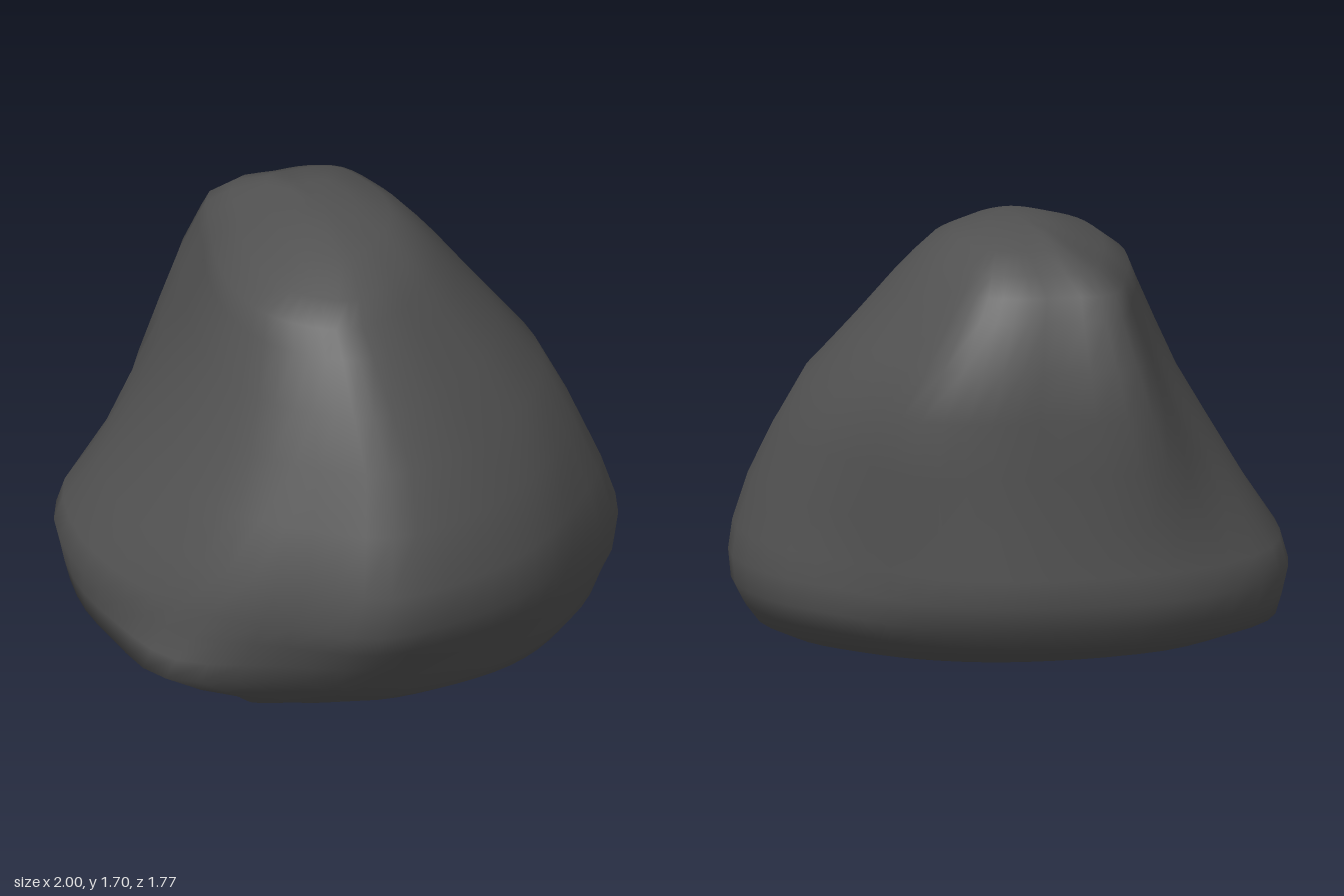
import * as THREE from 'three';

// Radii of the plan outline every 22.5 degrees, turning from +x towards +z
const LOW = [1, 0.93, 0.9, 0.89, 0.92, 0.92, 1.07, 0.98, 0.98, 1.03, 1, 0.93, 0.9, 0.88, 0.88, 0.95];
const WIDE = [1, 0.9, 0.87, 0.855, 0.88, 0.82, 0.87, 0.91, 0.98, 1.05, 1, 0.91, 0.885, 0.87, 0.84, 0.94];
const ROUND = [1, 0.97, 0.93, 0.96, 1, 0.98, 1, 1, 1, 1.05, 1.24, 1.04, 1, 1.01, 0.96, 0.98];

// Height, then left/right and back/front limits of each cross-section
const LEVELS = [
  [0.00, -0.40, -0.12, 0.14, 0.36],
  [0.03, -0.48, 0.22, -0.03, 0.46],
  [0.06, -0.54, 0.64, -0.20, 0.52],
  [0.10, -0.62, 0.80, -0.38, 0.57],
  [0.17, -0.79, 0.90, -0.62, 0.65],
  [0.25, -0.96, 0.95, -0.78, 0.71],
  [0.33, -0.98, 0.99, -0.84, 0.76],
  [0.43, -1.00, 1.00, -0.885, 0.83],
  [0.53, -0.97, 0.985, -0.88, 0.88],
  [0.70, -0.85, 0.93, -0.87, 0.89],
  [0.90, -0.73, 0.84, -0.86, 0.80],
  [1.10, -0.61, 0.73, -0.855, 0.70],
  [1.28, -0.53, 0.57, -0.83, 0.60],
  [1.45, -0.46, 0.43, -0.76, 0.47],
  [1.53, -0.43, 0.36, -0.71, 0.39],
  [1.60, -0.34, 0.29, -0.65, 0.30],
  [1.66, -0.22, 0.20, -0.54, 0.10],
  [1.69, -0.14, 0.08, -0.40, -0.03],
];
const SEGMENTS = 48;

// One closed section: blend the outlines by height, then fit to the limits
function section([y, x0, x1, z0, z1]) {
  const toWide = THREE.MathUtils.smoothstep(y, 0.2, 0.5);
  const toRound = THREE.MathUtils.smoothstep(y, 0.5, 1.25);
  const corners = WIDE.map((wide, i) => {
    const a = (i / WIDE.length) * Math.PI * 2;
    const lower = THREE.MathUtils.lerp(LOW[i], wide, toWide);
    const radius = THREE.MathUtils.lerp(lower, ROUND[i], toRound);
    return new THREE.Vector3(Math.cos(a) * radius, 0, Math.sin(a) * radius);
  });
  const curve = new THREE.CatmullRomCurve3(corners, true);
  const ring = Array.from({ length: SEGMENTS }, (_, i) => curve.getPoint(i / SEGMENTS));
  const box = new THREE.Box3().setFromPoints(ring);
  return ring.map((p) => [
    THREE.MathUtils.mapLinear(p.x, box.min.x, box.max.x, x0, x1),
    y,
    THREE.MathUtils.mapLinear(p.z, box.min.z, box.max.z, z0, z1),
  ]);
}

function boulderGeometry() {
  const positions = LEVELS.flatMap(section).flat();
  const index = [];
  const bottom = LEVELS.length * SEGMENTS;
  const last = bottom - SEGMENTS;
  positions.push(-0.26, 0, 0.25, -0.04, 1.7, -0.2); // cap centres

  for (let i = 0; i < SEGMENTS; i++) {
    const j = (i + 1) % SEGMENTS;
    for (let base = 0; base < last; base += SEGMENTS) {
      const a = base + i, b = base + j;
      index.push(a, a + SEGMENTS, b, b, a + SEGMENTS, b + SEGMENTS);
    }
    index.push(bottom, i, j);
    index.push(bottom + 1, last + j, last + i);
  }

  const geometry = new THREE.BufferGeometry();
  geometry.setAttribute('position', new THREE.Float32BufferAttribute(positions, 3));
  geometry.setIndex(index);
  geometry.computeVertexNormals();
  return geometry;
}

export function createModel() {
  const group = new THREE.Group();
  group.name = 'rock';
  const boulder = new THREE.Mesh(boulderGeometry(), new THREE.MeshStandardMaterial({ color: 0x525252 }));
  boulder.name = 'boulder';
  group.add(boulder);
  return group;
}
